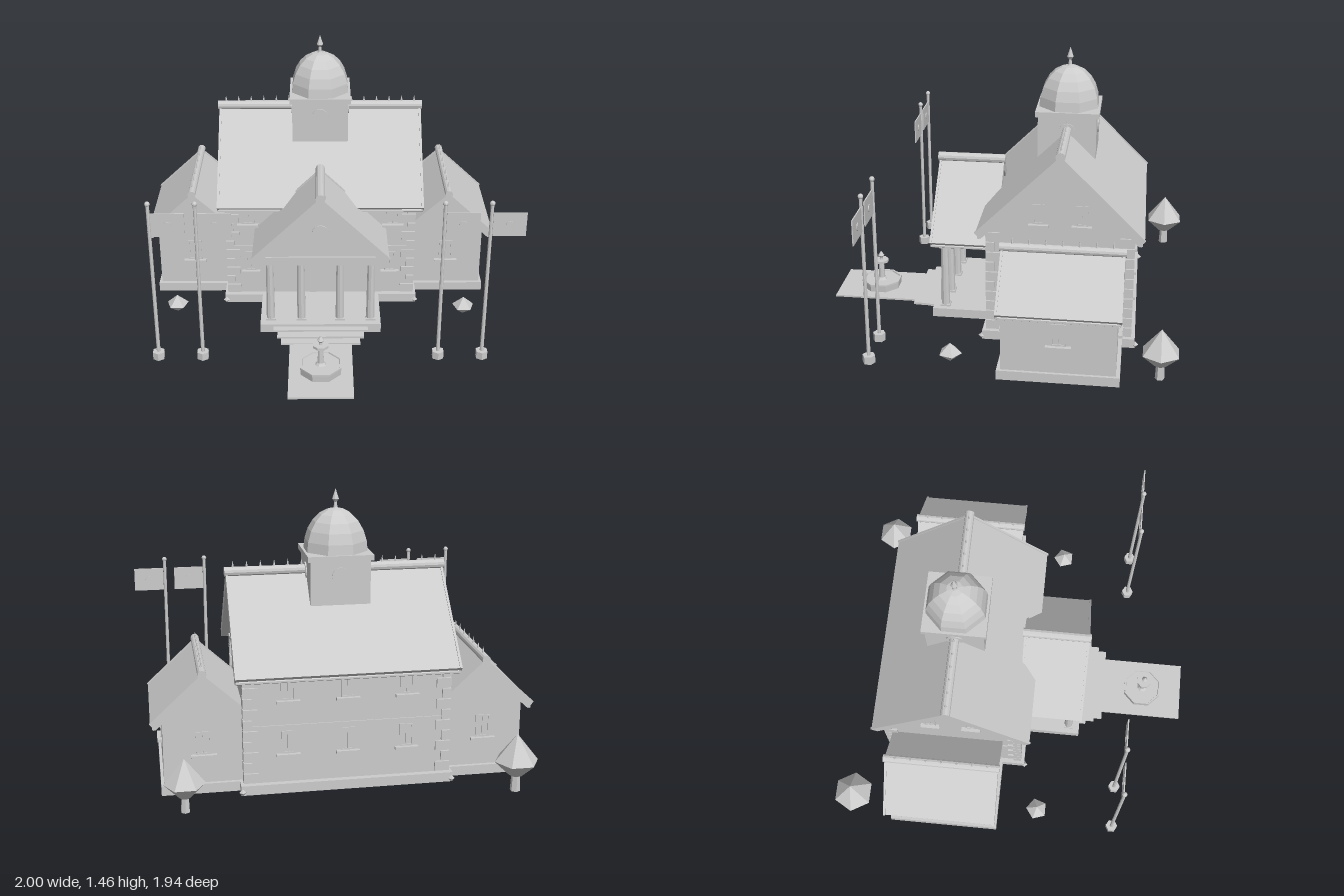
import * as THREE from 'three';

const CX = -0.022; // building axis
const CZ = -0.322; // main block centre

export function createModel() {
  const model = new THREE.Group();
  const stone = new THREE.MeshStandardMaterial({ color: 0xcccccc });
  stone.name = 'pale grey';

  const add = (name, geo, x = 0, y = 0, z = 0, parent = model) => {
    // faceted normals for the low-poly look
    const flat = geo.index ? geo.toNonIndexed() : geo;
    flat.computeVertexNormals();
    const mesh = new THREE.Mesh(flat, stone);
    mesh.name = name;
    mesh.position.set(x, y, z);
    parent.add(mesh);
    return mesh;
  };
  const group = (name, x = 0, y = 0, z = 0, rotY = 0) => {
    const g = new THREE.Group();
    g.name = name;
    g.position.set(x, y, z);
    g.rotation.y = rotY;
    model.add(g);
    return g;
  };
  const box = (name, w, h, d, x, y, z, parent) =>
    add(name, new THREE.BoxGeometry(w, h, d), x, y, z, parent);
  const cyl = (name, r1, r2, h, n, x, y, z, parent) =>
    add(name, new THREE.CylinderGeometry(r1, r2, h, n), x, y, z, parent);
  const lathe = (name, pts, n, x, y, z, parent) =>
    add(name, new THREE.LatheGeometry(pts.map(p => new THREE.Vector2(...p)), n, Math.PI / n), x, y, z, parent);
  const extrude = (shape, depth) => new THREE.ExtrudeGeometry(shape, { depth, bevelEnabled: false });
  const prism = (name, pts, depth, z, parent) =>
    add(name, extrude(new THREE.Shape(pts.map(p => new THREE.Vector2(...p))), depth), 0, 0, z - depth / 2, parent);
  // Rectangular frame with an open middle
  function frame(w, h, border, depth) {
    const rect = (P, a, b) => new P([[-a, -b], [a, -b], [a, b], [-a, b]].map(p => new THREE.Vector2(...p)));
    const shape = rect(THREE.Shape, w / 2, h / 2);
    shape.holes.push(rect(THREE.Path, w / 2 - border, h / 2 - border));
    return extrude(shape, depth);
  }
  // Plinth ring around a raised floor
  const plinth = (name, w, d, x, z, parent) =>
    add(name, frame(w, d, 0.035, 0.05).rotateX(-Math.PI / 2), x, 0, z, parent);

  // Pitched roof along local z: slabs, bargeboards, ridge roll, spikes, gutters
  function roof(parent, half, eave, apex, length, ridgeR, spikes, step) {
    const m = (apex - eave) / half, s = Math.hypot(1, m);
    const chevron = (t, lift) => {
      const ex = half + lift, ey = eave - lift * m + lift * s;
      const ix = ex - t * m / s, iy = ey - t / s;
      const top = apex + lift * s;
      return [[ex, ey], [0, top], [-ex, ey], [-ix, iy], [0, top - t * s], [ix, iy]];
    };
    prism('roofSlabs', chevron(0.038, 0), length, 0, parent);
    for (const e of [-1, 1])
      prism('bargeboard', chevron(0.046, 0.005), 0.012, e * (length / 2 - 0.003), parent);
    cyl('ridgeRoll', ridgeR, ridgeR, length + 0.02, 12, 0, apex + 0.004, 0, parent).rotation.x = Math.PI / 2;
    for (let i = 0; i < spikes; i++)
      add('ridgeSpike', new THREE.ConeGeometry(0.008, 0.04, 5), 0, apex + ridgeR + 0.016,
        (i - (spikes - 1) / 2) * step, parent);
    for (const e of [-1, 1])
      cyl('gutter', 0.009, 0.009, length, 6, e * (half - 0.018), eave - 0.024, 0, parent).rotation.x = Math.PI / 2;
    return x => apex - 0.038 * s - m * Math.abs(x); // underside height
  }
  // Gabled wall block below a roof
  const walls = (name, half, bottom, under, depth, parent) =>
    prism(name, [[-half, bottom], [half, bottom], [half, under(half)], [0, under(0)], [-half, under(half)]], depth, 0, parent);

  // Framed window with a glazing bar and a sill, facing local +z
  function windowUnit(x, y, z, rotY, w = 0.07, h = 0.12) {
    const g = group('window', x, y, z, rotY);
    add('windowFrame', frame(w, h, 0.009, 0.005), 0, 0, 0, g);
    box('mullion', 0.006, h, 0.005, 0, 0, 0.002, g);
    box('sill', w * 1.7, 0.015, 0.03, 0, -h / 2 - 0.006, 0.008, g);
  }
  const disc = (name, r, x, y, z, rotY) => {
    const g = group(name, x, y, z, rotY);
    cyl(name + 'Plate', r, r, 0.009, 16, 0, 0, 0.002, g).rotation.x = Math.PI / 2;
  };

  // Main block
  const main = group('mainBlock', CX, 0, CZ, Math.PI / 2);
  const mainUnder = roof(main, 0.429, 0.618, 1.044, 1.12, 0.025, 16, 0.07);
  walls('mainWalls', 0.37, 0.04, mainUnder, 1.03, main);
  plinth('mainPlinth', 1.08, 0.8, CX, CZ);
  box('stringCourse', 1.042, 0.014, 0.752, CX, 0.345, CZ);
  for (const sx of [-1, 1]) for (const sz of [-1, 1]) {
    // alternating corner stones
    for (let i = 0; i < 10; i++) {
      const a = i % 2 ? 0.045 : 0.075, b = i % 2 ? 0.075 : 0.045;
      box('quoin', a, 0.05, b, CX + sx * (0.525 - a / 2), 0.08 + i * 0.056, CZ + sz * (0.381 - b / 2));
    }
    // corner drain
    add('drain', new THREE.OctahedronGeometry(0.018), CX + sx * 0.533, 0.018, CZ + sz * 0.402);
  }
  // brackets under the long eaves
  for (const sz of [-1, 1]) for (let i = 0; i < 16; i++)
    box('eaveBracket', 0.025, 0.03, 0.035, CX + (i - 7.5) * 0.066, 0.598, CZ + sz * 0.382);
  for (const k of [-1, 0, 1]) for (const y of [0.26, 0.54])
    windowUnit(CX + k * 0.3, y, CZ - 0.37, Math.PI);
  for (const k of [-1, 1]) {
    windowUnit(CX + k * 0.39, 0.255, CZ + 0.37, 0, 0.06);
    windowUnit(CX + k * 0.4, 0.545, CZ + 0.37, 0, 0.07, 0.11);
    for (const j of [-1, 1])
      windowUnit(CX + k * 0.515, 0.72, CZ + j * 0.11, k * Math.PI / 2, 0.06, 0.11);
  }
  box('door', 0.12, 0.25, 0.005, CX, 0.17, CZ + 0.371);

  // Side wings
  for (const s of [-1, 1]) {
    const wx = CX + s * 0.715, wz = -0.352;
    const wing = group(s > 0 ? 'leftWing' : 'rightWing', wx, 0, wz);
    const under = roof(wing, 0.258, 0.38, 0.619, 0.606, 0.022, 7, 0.083);
    walls('wingWalls', 0.2, 0.04, under, 0.57, wing);
    plinth('wingPlinth', 0.43, 0.61, 0, 0, wing);
    windowUnit(wx, 0.26, wz + 0.285, 0, 0.075);
    windowUnit(wx, 0.26, wz - 0.285, Math.PI, 0.075);
    windowUnit(wx + s * 0.2, 0.26, wz, s * Math.PI / 2, 0.075);
  }

  // Cupola with faceted dome
  box('cupolaTower', 0.307, 0.4, 0.307, CX, 0.93, CZ);
  box('cupolaCornice', 0.335, 0.028, 0.335, CX, 1.132, CZ);
  const dome = [];
  for (let i = 0; i <= 6; i++) {
    const a = i / 6 * Math.PI / 2;
    dome.push([0.168 * Math.cos(a) + 0.0001, 1.14 + 0.22 * Math.sin(a)]);
  }
  lathe('dome', dome, 8, CX, 0, CZ);
  lathe('domeFinial', [[0.018, 1.35], [0.01, 1.365], [0.007, 1.39], [0.018, 1.405], [0.012, 1.422], [0, 1.458]], 8, CX, 0, CZ);
  for (let i = 0; i < 4; i++) {
    const a = i * Math.PI / 2;
    disc('cupolaRoundel', 0.045, CX + Math.sin(a) * 0.1535, 1.04, CZ + Math.cos(a) * 0.1535, a);
  }

  // Portico
  const portico = group('portico', CX, 0, 0.205);
  const porticoUnder = roof(portico, 0.364, 0.458, 0.813, 0.35, 0.025, 0, 0);
  const base = 0.44, run = 0.364 * (porticoUnder(0) - base) / 0.355;
  prism('pediment', [[-run, base], [run, base], [0, porticoUnder(0)]], 0.31, -0.01, portico);
  box('entablature', 0.62, 0.042, 0.31, 0, 0.435, 0, portico);
  plinth('porticoPlinth', 0.655, 0.33, 0, 0.012, portico);
  box('porticoFloor', 0.6, 0.012, 0.28, 0, 0.044, 0.012, portico);
  disc('pedimentRoundel', 0.045, CX, 0.6, 0.35, 0);
  for (const x of [-0.272, -0.105, 0.105, 0.272]) {
    cyl('column', 0.021, 0.024, 0.36, 10, x, 0.225, 0.113, portico);
    box('columnBase', 0.054, 0.014, 0.054, x, 0.052, 0.113, portico);
    box('columnCapital', 0.054, 0.016, 0.054, x, 0.407, 0.113, portico);
  }
  // stacked step slabs
  [[0.256, 0.418, 0.036], [0.234, 0.466, 0.026], [0.212, 0.512, 0.016]].forEach(([w, z, top]) =>
    box('step', w * 2, 0.012, z - 0.36, CX, top - 0.006, (z + 0.36) / 2));
  box('path', 0.332, 0.01, 0.47, CX, 0.005, 0.737);

  // Fountain
  const fountain = group('fountain', CX, 0, 0.741);
  lathe('basin', [[0, 0], [0.11, 0], [0.114, 0.045], [0.114, 0.054], [0.105, 0.054], [0.103, 0.046], [0, 0.046]], 8, 0, 0, 0, fountain);
  lathe('fountainStem', [[0.03, 0.045], [0.018, 0.06], [0.014, 0.15], [0.042, 0.156], [0.042, 0.17], [0.01, 0.17],
    [0.009, 0.182], [0.018, 0.195], [0, 0.222]], 8, 0, 0, 0, fountain);

  // Flagpoles
  for (const x of [-0.872, -0.64, 0.593, 0.823]) {
    const pole = group('flagpole', x, 0, 0.614);
    cyl('poleBase', 0.033, 0.033, 0.042, 6, 0, 0.021, 0, pole);
    cyl('pole', 0.009, 0.01, 0.87, 8, 0, 0.465, 0, pole);
    add('poleBall', new THREE.SphereGeometry(0.014, 8, 6), 0, 0.91, 0, pole);
    box('flag', 0.167, 0.13, 0.006, 0.093, 0.793, 0, pole);
    cyl('flagDisc', 0.02, 0.02, 0.014, 12, 0.093, 0.793, 0, pole).rotation.x = Math.PI / 2;
  }

  // Trees and bushes: double cones
  const plant = (name, x, z, n, pts) => lathe(name, pts, n, x, 0, z);
  for (const [x, z, k] of [[-0.842, -0.876, 1], [0.8, -0.851, 0.91]]) {
    cyl('treeTrunk', 0.021 * k, 0.026 * k, 0.1, 6, x, 0.05, z);
    plant('treeCrown', x, z, 6, [[0, 0.085 * k], [0.035 * k, 0.085 * k], [0.112 * k, 0.16 * k], [0, 0.302 * k]]);
  }
  for (const [x, z] of [[-0.82, 0.176], [0.772, 0.204]])
    plant('bush', x, z, 5, [[0, 0.006], [0.061, 0.055], [0, 0.11]]);

  return model;
}
